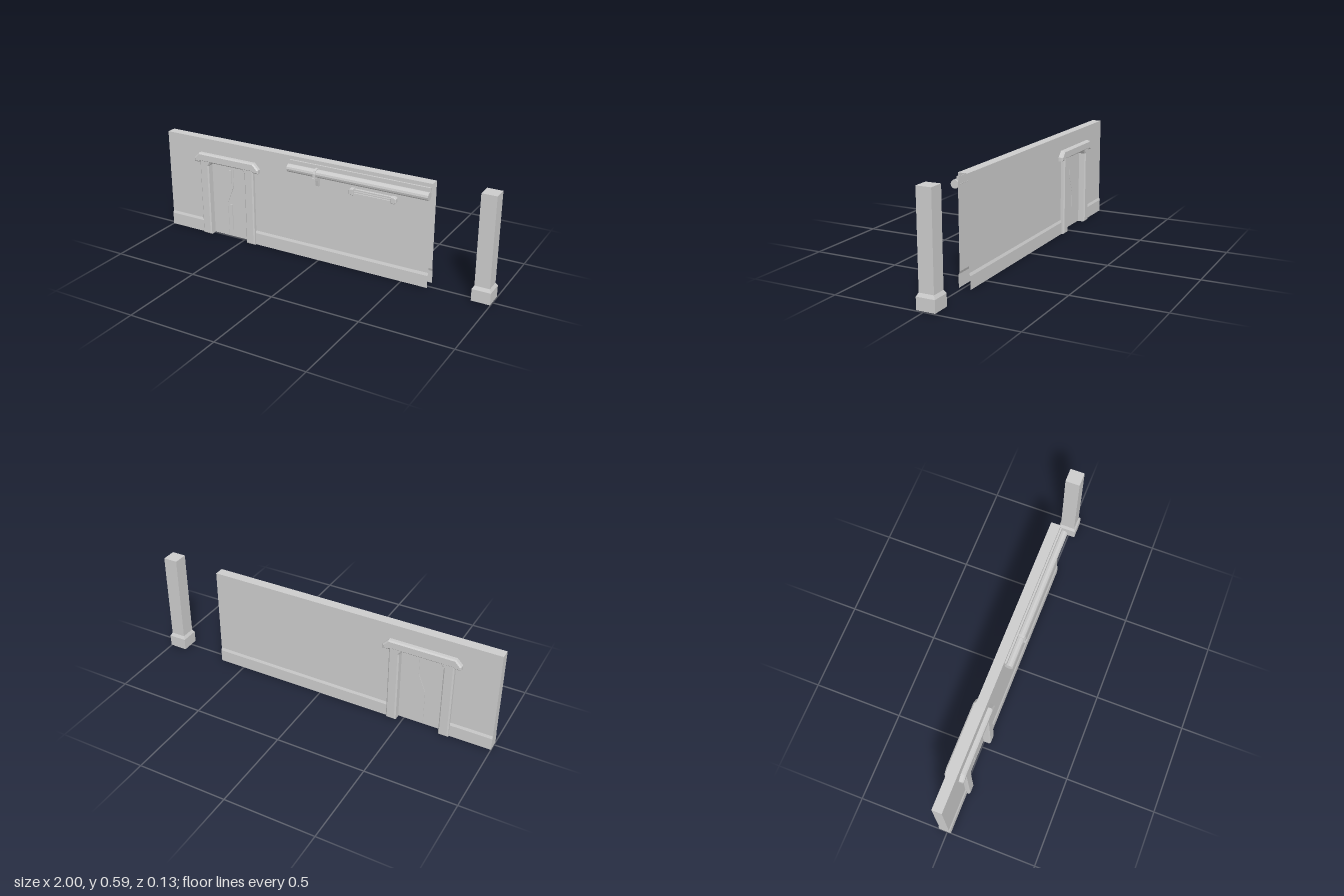
import * as THREE from 'three';

const ZC = -0.0125; // middle plane of the wall
const grey = new THREE.MeshStandardMaterial({ color: 0xcccccc, flatShading: true });
const sheetMat = new THREE.MeshStandardMaterial({ color: 0xcccccc, flatShading: true, side: THREE.DoubleSide });

const toShape = (pts) => new THREE.Shape(pts.map(([x, y]) => new THREE.Vector2(x, y)));

function add(parent, name, geometry, material = grey) {
  const mesh = new THREE.Mesh(geometry, material);
  mesh.name = name;
  parent.add(mesh);
  return mesh;
}

// box given by its limits
function box(parent, name, x0, x1, y0, y1, z0, z1) {
  const g = new THREE.BoxGeometry(x1 - x0, y1 - y0, z1 - z0);
  g.translate((x0 + x1) / 2, (y0 + y1) / 2, (z0 + z1) / 2);
  return add(parent, name, g);
}

// front outline (x, y) extruded from z0 to z1 with bevelled edges kept inside the outline
function slab(pts, z0, z1, bevel = 0) {
  const g = new THREE.ExtrudeGeometry(toShape(pts), {
    depth: z1 - z0 - 2 * bevel, bevelEnabled: bevel > 0, bevelSegments: 1,
    bevelSize: bevel, bevelThickness: bevel, bevelOffset: -bevel,
  });
  return g.translate(0, 0, z0 + bevel);
}

// side outline (z, y) extruded from x0 to x1
function sideSlab(pts, x0, x1) {
  const g = new THREE.ExtrudeGeometry(toShape(pts.map(([z, y]) => [-z, y])), { depth: x1 - x0, bevelEnabled: false });
  return g.rotateY(Math.PI / 2).translate(x0, 0, 0);
}

// open sheet: a (z, y) profile swept from x0 to x1
function sweep(profile, x0, x1) {
  const pos = [], idx = [];
  profile.forEach(([z, y], i) => {
    pos.push(x0, y, z, x1, y, z);
    const a = 2 * i;
    if (i) idx.push(a - 2, a - 1, a, a, a - 1, a + 1);
  });
  const g = new THREE.BufferGeometry();
  g.setAttribute('position', new THREE.Float32BufferAttribute(pos, 3));
  g.setIndex(idx);
  const flat = g.toNonIndexed();
  flat.computeVertexNormals();
  return flat;
}

function buildWall() {
  const wall = new THREE.Group();
  wall.name = 'wall';
  const half = [[0.033, 0], [0.033, 0.07], [0.027, 0.085], [0.027, 0.58]];
  const arch = (h) => [
    ...h.map(([z, y]) => [ZC + z, y]),
    ...[...h].reverse().map(([z, y]) => [ZC - z, y]),
  ];
  const full = arch(half);
  add(wall, 'wallBesideDoor', sweep(full, -1, -0.74), sheetMat);
  add(wall, 'longWall', sweep(full, -0.44, 0.65), sheetMat);
  add(wall, 'wallAboveDoor', sweep(arch([[0.027, 0.46], [0.027, 0.58]]), -0.74, -0.44), sheetMat);
  // closed end of the hollow wall
  const cap = new THREE.ShapeGeometry(toShape(full.map(([z, y]) => [-z, y])));
  add(wall, 'wallEnd', cap.rotateY(Math.PI / 2).translate(-1, 0, 0), sheetMat);
  return wall;
}

function buildDoor() {
  const door = new THREE.Group();
  door.name = 'doorway';
  const cx = -0.589;
  const mirrored = (pts) => [
    ...pts.map(([x, y]) => [cx + x, y]),
    ...[...pts].reverse().map(([x, y]) => [cx - x, y]),
  ];
  // jambs with the chamfered opening between them
  const outer = [[0.179, 0], [0.179, 0.47]];
  const inner = [[-0.122, 0], [-0.122, 0.425], [-0.104, 0.446]];
  const right = outer.map(([x, y]) => [cx + x, y]);
  const left = [...outer].reverse().map(([x, y]) => [cx - x, y]);
  add(door, 'doorFrame', slab([...right, ...left, ...mirrored(inner)], ZC - 0.05, ZC + 0.05, 0.007));
  // lintel with sloping shoulders
  const lintel = [[0.17, 0.447], [0.184, 0.44], [0.215, 0.44], [0.215, 0.463], [0.183, 0.496]];
  add(door, 'lintel', slab(mirrored(lintel), ZC - 0.053, ZC + 0.053, 0.007));

  // two leaves meeting along a stepped seam
  const seam = [[-0.61, 0.006], [-0.61, 0.21], [-0.568, 0.315], [-0.568, 0.455]];
  const gap = 0.0012;
  const leaves = [['rightDoorLeaf', -0.72, -gap], ['leftDoorLeaf', -0.458, gap]];
  for (const [name, edge, shift] of leaves) {
    const pts = [[edge, 0.455], [edge, 0.006], ...seam.map(([x, y]) => [x + shift, y])];
    add(door, name, slab(pts, ZC - 0.009, ZC + 0.009));
  }
  box(door, 'doorCore', -0.72, -0.458, 0, 0.45, ZC - 0.006, ZC + 0.006);
  // narrow upright handles
  box(door, 'upperHandle', -0.6, -0.581, 0.33, 0.412, ZC + 0.008, ZC + 0.014);
  box(door, 'lowerHandle', -0.596, -0.58, 0.045, 0.2, ZC + 0.008, ZC + 0.014);
  return door;
}

function buildPipe() {
  const pipe = new THREE.Group();
  pipe.name = 'wallPipe';
  const y = 0.519, z = 0.036, r = 0.022;
  const tube = new THREE.CylinderGeometry(r, r, 0.822, 12).rotateZ(Math.PI / 2);
  add(pipe, 'pipe', tube.translate(0.235, y, z));
  box(pipe, 'pipeRail', -0.176, 0.646, 0.54, 0.56, 0.012, 0.024);
  // bracket: shelf and arm under the pipe, strap around it
  const bracket = [[0.012, 0.497], [0.068, 0.497], [0.068, 0.487], [0.034, 0.476], [0.026, 0.442], [0.012, 0.442]];
  add(pipe, 'pipeBracket', sideSlab(bracket, -0.012, 0.006));
  const strap = (k) => [[0.063 - k, 0.495], [0.062 - k, 0.522], [0.054 - k * 0.7, 0.539 - k * 0.7], [0.036, 0.545 - k], [0.012, 0.545 - k]];
  add(pipe, 'pipeStrap', sideSlab([...strap(0), ...strap(0.004).reverse()], -0.01, 0.004));
  return pipe;
}

function buildGrille() {
  const grille = new THREE.Group();
  grille.name = 'barFixture';
  const cx = 0.327, y0 = 0.437, y1 = 0.473;
  for (const s of [-1, 1]) {
    const pts = [[0.107, y0], [0.128, y0], [0.136, y0 + 0.008], [0.136, y1 - 0.008], [0.128, y1], [0.107, y1]];
    add(grille, s < 0 ? 'rightEndCap' : 'leftEndCap', slab(pts.map(([x, y]) => [cx + s * x, y]), 0.01, 0.039, 0.003));
  }
  for (let i = 0; i < 3; i++) {
    const y = 0.444 + i * 0.011;
    box(grille, 'bar', cx - 0.112, cx + 0.112, y - 0.004, y + 0.004, 0.01, 0.03);
  }
  box(grille, 'barBacking', cx - 0.112, cx + 0.112, 0.441, 0.469, 0.01, 0.022);
  return grille;
}

function buildPillar() {
  // four-sided lathe: half-widths and heights
  const profile = [[0, 0.004], [0.051, 0.004], [0.051, 0.07], [0.041, 0.088], [0.041, 0.589], [0, 0.589]];
  const pts = profile.map(([w, y]) => new THREE.Vector2(w * Math.SQRT2, y));
  const g = new THREE.LatheGeometry(pts, 4).rotateY(Math.PI / 4);
  const pillar = new THREE.Mesh(g, grey);
  pillar.name = 'pillar';
  pillar.position.set(0.949, 0, ZC);
  return pillar;
}

export function createModel() {
  const model = new THREE.Group();
  model.name = 'wallSet';
  model.add(buildWall(), buildDoor(), buildPipe(), buildGrille(), buildPillar());
  return model;
}
